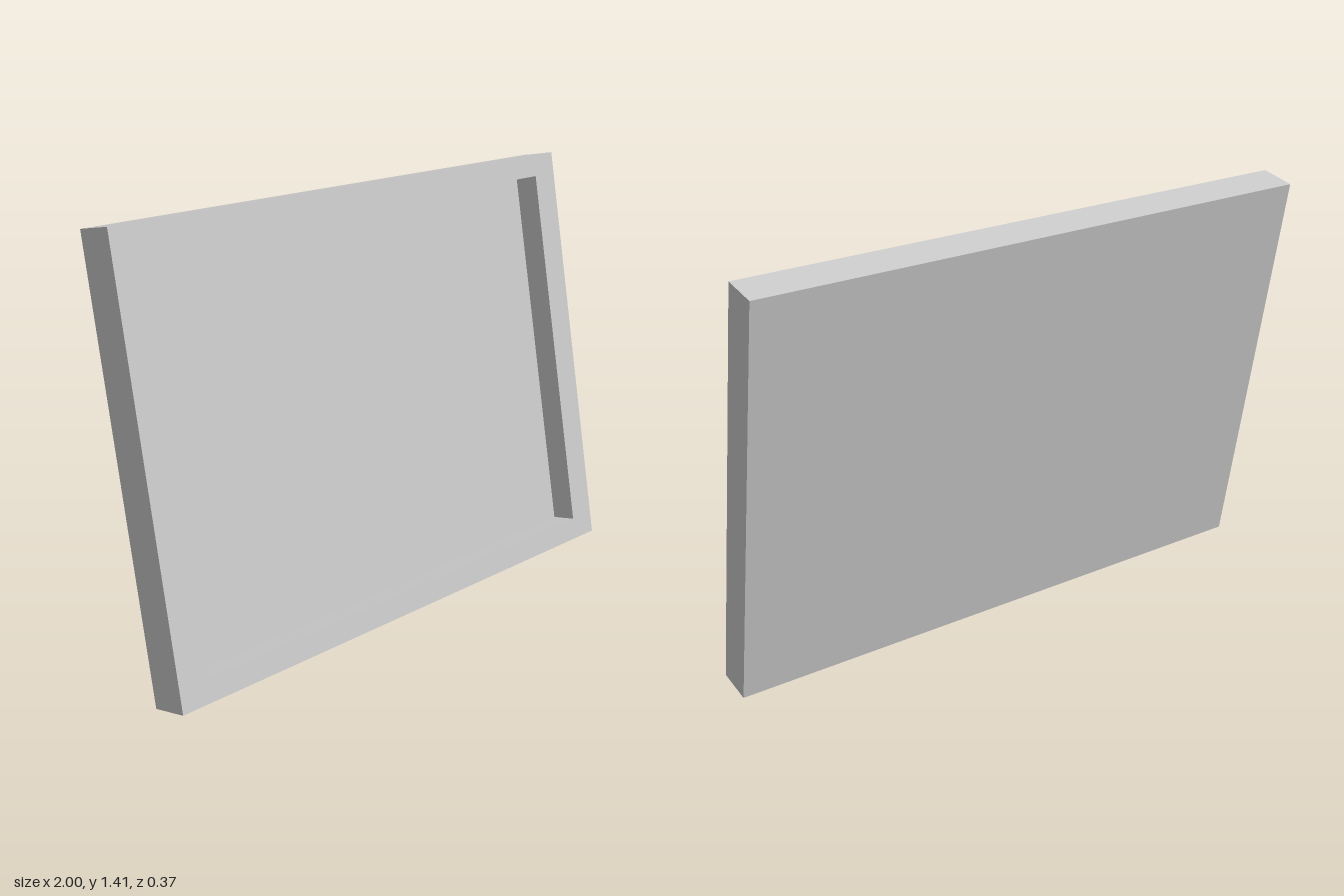
import * as THREE from 'three';

const HEIGHT = 1.414, DEPTH = 0.124;       // panel size before tilting (width is 2)
const OPENING = 0.895;                     // opening as a share of the outer size
const RECESS = 0.087;                      // depth of the front recess
const TILT = THREE.MathUtils.degToRad(10); // lean towards the back

export function createModel() {
  const group = new THREE.Group();
  group.name = 'leaningFrame';

  // Closed section from the back centre, round the rim, to the recess floor centre
  const r = Math.SQRT2, h = DEPTH / 2;
  const section = [
    [0, -h], [r, -h], [r, h], [r * OPENING, h], [r * OPENING, h - RECESS], [0, h - RECESS],
  ].map(([x, y]) => new THREE.Vector2(x, y));

  // Four-sided sweep, turned to face the front and squashed to a rectangle
  const geometry = new THREE.LatheGeometry(section, 4, Math.PI / 4)
    .rotateX(Math.PI / 2)
    .scale(1, HEIGHT / 2, 1)
    .toNonIndexed();
  geometry.computeVertexNormals();

  const tray = new THREE.Mesh(
    geometry,
    new THREE.MeshStandardMaterial({ color: 0xcccccc, flatShading: true })
  );
  tray.name = 'recessedFrame';
  tray.rotation.x = -TILT;
  tray.position.y = (HEIGHT * Math.cos(TILT) + DEPTH * Math.sin(TILT)) / 2;
  group.add(tray);

  return group;
}
